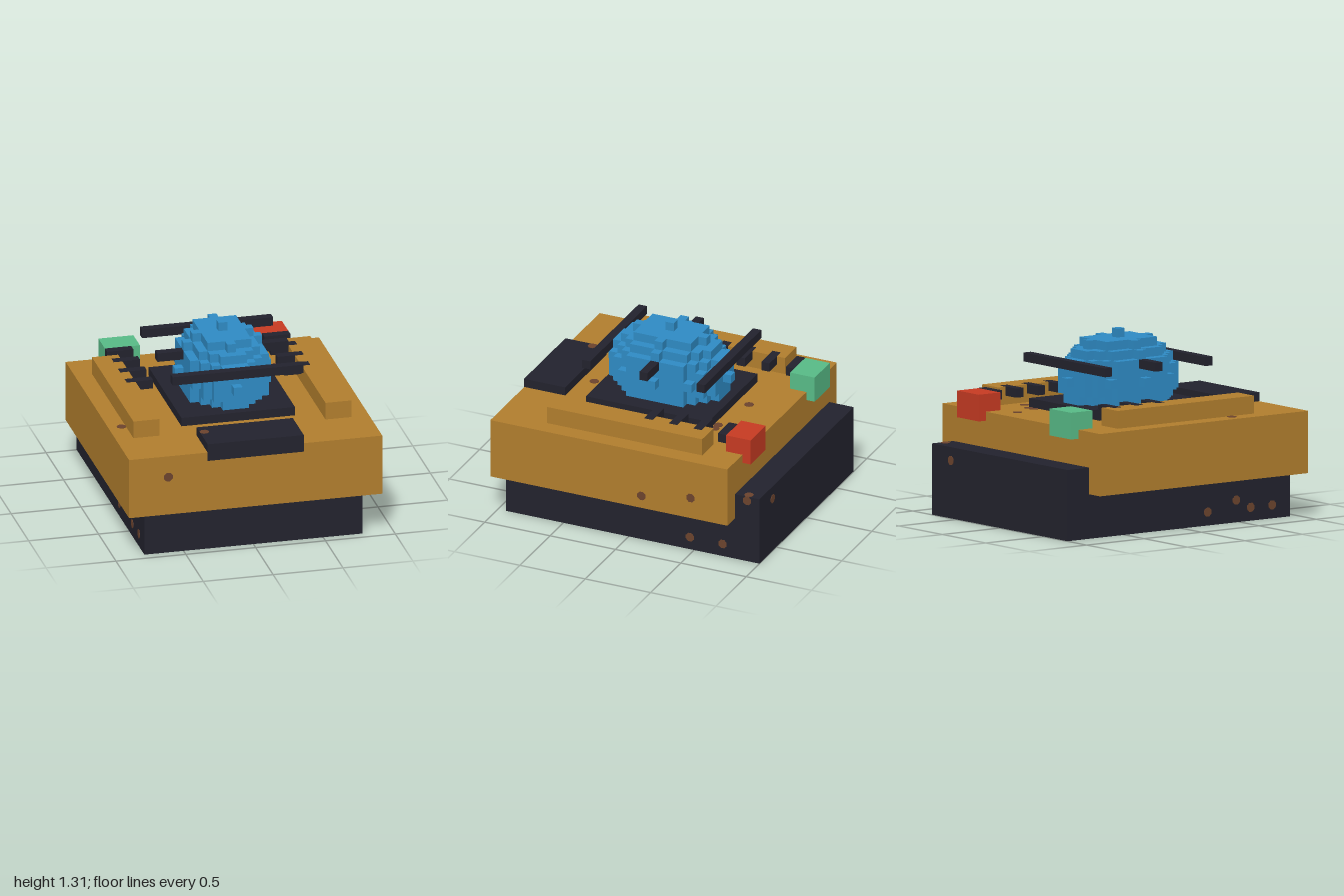
import * as THREE from 'three';
import { mergeGeometries } from 'three/addons/utils/BufferGeometryUtils.js';

const U = 0.0625; // one block

function material(name, color) {
  const m = new THREE.MeshStandardMaterial({ color });
  m.name = name;
  return m;
}

export function createModel() {
  const root = new THREE.Group();
  root.name = 'blockRover';
  const ochre = material('ochre', 0xb07d2d);
  const dark = material('charcoal', 0x22222d);
  const blue = material('blue', 0x2e8ac3);
  const red = material('red', 0xc53a22);
  const green = material('green', 0x57ba86);
  const rust = material('rust', 0x6b432d);

  // Box given by its low and high limits
  function box(name, mat, [x0, x1], [y0, y1], [z0, z1]) {
    const mesh = new THREE.Mesh(new THREE.BoxGeometry(x1 - x0, y1 - y0, z1 - z0), mat);
    mesh.position.set((x0 + x1) / 2, (y0 + y1) / 2, (z0 + z1) / 2);
    mesh.name = name;
    root.add(mesh);
    return mesh;
  }

  // Undercarriage and hull
  box('undercarriage', dark, [-0.78125, 0.78125], [0, 0.3125], [-0.8125, 0.9375]);
  box('rearBlock', dark, [-0.78125, 0.78125], [0, 0.5], [-1, -0.8125]);
  box('hull', ochre, [-0.90625, 0.90625], [0.3125, 0.75], [-0.8125, 1]);

  // Deck plates
  box('frontPlate', dark, [-0.34375, 0.34375], [0.6875, 0.8125], [0.6875, 1.002]);
  box('cockpitFloor', dark, [-0.40625, 0.40625], [0.75, 0.8125], [-0.4375, 0.5]);

  // Mirrored side rails, vent bars and lamps
  for (const s of [-1, 1]) {
    const side = s > 0 ? 'left' : 'right';
    const span = (a, b) => (s > 0 ? [a, b] : [-b, -a]);
    box(side + 'SideRail', ochre, span(0.59375, 0.78125), [0.75, 0.875], [-0.5625, 0.625]);
    for (let i = 0; i < 4; i++) {
      const z = -0.6875 + i * 3 * U;
      box(side + 'VentBar', dark, span(0.46875, 0.65625), [0.8125, 0.877], [z, z + U]);
    }
    box(side + 'Lamp', s > 0 ? red : green, span(0.40625, 0.65625), [0.6875, 0.875], [-0.875, -0.6875]);
  }

  // Roll bars across the canopy
  for (const z of [-0.4375, 0, 0.4375])
    box('rollBar', dark, [-0.46875, 0.46875], [1.0625, 1.125], [z, z + U]);

  // Blocky ellipsoid canopy: only the exposed block faces
  const solid = (i, j, k) => (i * i) / 25 + (j * j) / 25 + (k * k) / 49 <= 1;
  const dirs = [[1, 0, 0], [-1, 0, 0], [0, 1, 0], [0, -1, 0], [0, 0, 1], [0, 0, -1]];
  const faces = [];
  const zAxis = new THREE.Vector3(0, 0, 1);
  for (let i = -5; i <= 5; i++)
    for (let j = -2; j <= 5; j++)
      for (let k = -7; k <= 7; k++) {
        if (!solid(i, j, k)) continue;
        for (const [a, b, c] of dirs) {
          if (solid(i + a, j + b, k + c)) continue;
          const f = new THREE.PlaneGeometry(U, U);
          f.applyQuaternion(new THREE.Quaternion().setFromUnitVectors(zAxis, new THREE.Vector3(a, b, c)));
          f.translate((i + a / 2) * U, (j + b / 2) * U, (k + c / 2) * U);
          faces.push(f);
        }
      }
  const canopy = new THREE.Mesh(mergeGeometries(faces), blue);
  canopy.position.set(0, 0.96875, 0.03125);
  canopy.name = 'canopy';
  root.add(canopy);

  // Rust spots: thin octagons laid on the faces
  const disc = new THREE.CylinderGeometry(0.0338, 0.0338, 0.006, 8, 1, false, Math.PI / 8);
  function spots(axis, list) {
    for (const [x, y, z] of list) {
      const m = new THREE.Mesh(disc, rust);
      if (axis === 'x') m.rotation.z = Math.PI / 2;
      if (axis === 'z') m.rotation.x = Math.PI / 2;
      m.position.set(x, y, z);
      m.name = 'rustSpot';
      root.add(m);
    }
  }
  // top and underside
  spots('y', [
    [0.25, 0.75, -0.656], [-0.0625, 0.75, -0.531], [0.3125, 0.75, -0.469], [0.37, 0.75, -0.469],
    [0.5, 0.75, -0.406], [-0.8125, 0.75, 0.406], [0.0625, 0.75, 0.594],
    [-0.3125, 0.8125, 0.781], [0.75, 0.5, -0.906],
    [-0.3125, 0, -0.531], [-0.25, 0, 0.219], [0.3125, 0, 0.594],
  ].map(([x, y, z]) => [x, y === 0 ? 0.002 : y, z]));
  // left and right flanks
  spots('x', [
    [0.906, 0.406, -0.156], [0.906, 0.469, -0.531],
    [0.781, 0.094, -0.469], [0.781, 0.094, -0.719], [0.781, 0.469, -0.906],
    [-0.781, 0.094, 0.219], [-0.781, 0.156, 0.469], [-0.781, 0.094, 0.594], [-0.781, 0.094, 0.781],
  ]);
  // front and back
  spots('z', [[-0.625, 0.594, 1], [0.5625, 0.406, -1]]);

  return root;
}
